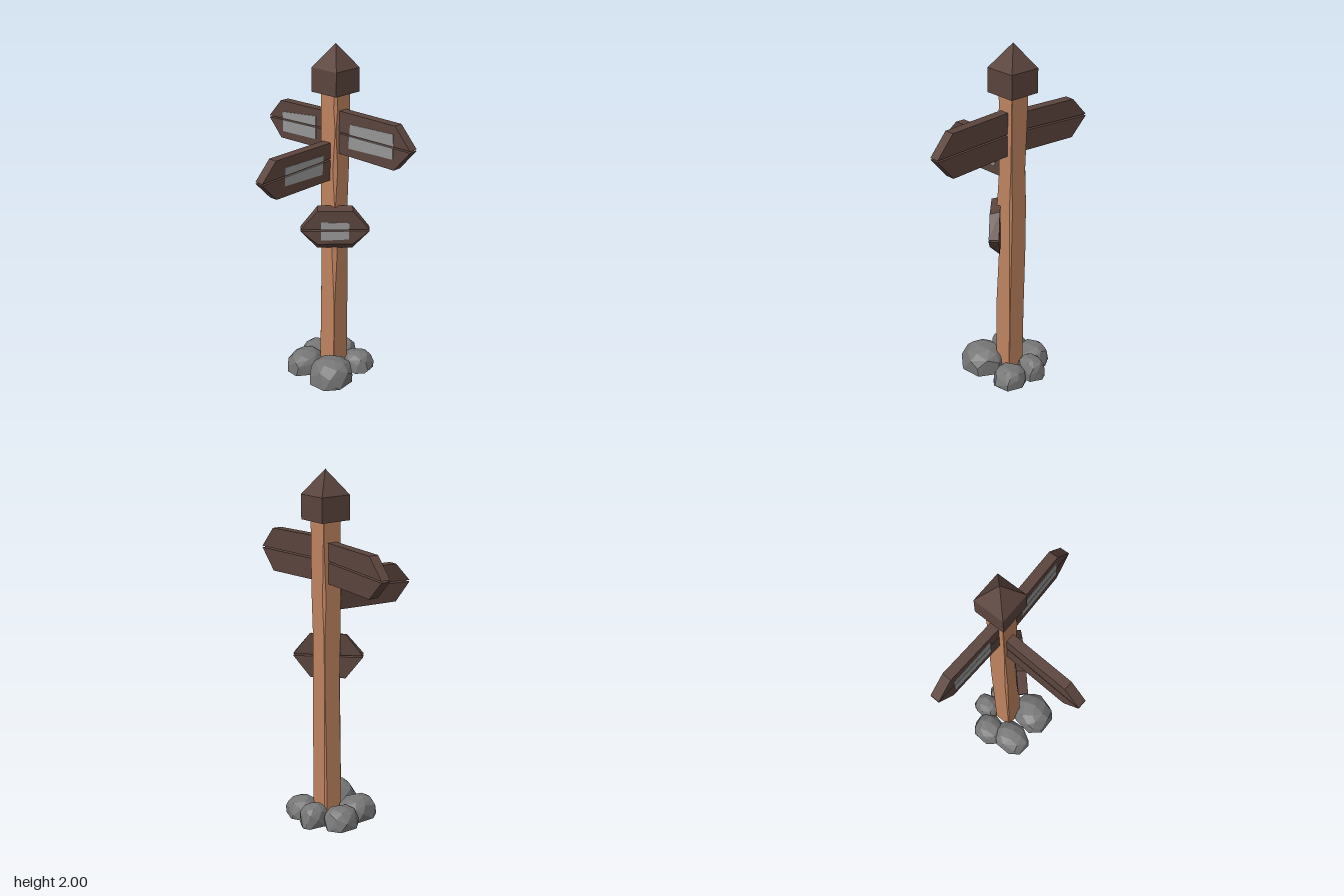
import * as THREE from 'three';
import { ConvexGeometry } from 'three/addons/geometries/ConvexGeometry.js';

const mat = (color) => new THREE.MeshStandardMaterial({ color, flatShading: true });
const postWood = mat(0xbf8360), darkWood = mat(0x5b443d), plateGrey = mat(0x969696), stone = mat(0x777777);
const AXIS = { x: -0.017, z: -0.171 };

function add(parent, name, geometry, material) {
  const mesh = new THREE.Mesh(geometry, material);
  mesh.name = name;
  parent.add(mesh);
  return mesh;
}

// Convex slab between a back outline and a front outline
function slab(back, z0, z1, front = back) {
  return new ConvexGeometry([
    ...back.map(([x, y]) => new THREE.Vector3(x, y, z0)),
    ...front.map(([x, y]) => new THREE.Vector3(x, y, z1)),
  ]);
}

// A sign is two planks with a narrow gap, each carrying half of a pale plate
function sign(name, planks, plates, fronts = planks) {
  const group = new THREE.Group();
  group.name = name;
  planks.forEach((p, i) => add(group, i ? 'lowerPlank' : 'upperPlank', slab(p, -0.028, 0.028, fronts[i]), darkWood));
  plates.forEach((p, i) => add(group, i ? 'lowerPlate' : 'upperPlate', slab(p, 0.027, 0.031), plateGrey));
  return group;
}

// Square post whose corners are chipped by different amounts along its height
function postGeometry() {
  const h = 0.058;
  // [height, chip at each corner: +x+z, -x+z, -x-z, +x-z]
  const levels = [
    [0.03, 0.002, 0.003, 0.012, 0.002], [0.45, 0.002, 0.008, 0.008, 0.003],
    [0.8, 0.022, 0.012, 0.002, 0.008], [1.08, 0.004, 0.006, 0.003, 0.012],
    [1.3, 0.02, 0.002, 0.014, 0.004], [1.52, 0.003, 0.003, 0.006, 0.002],
    [1.66, 0.016, 0.002, 0.002, 0.002], [1.75, 0.01, 0.002, 0.002, 0.002],
  ];
  const signs = [[1, 1], [-1, 1], [-1, -1], [1, -1]];
  const pos = [], index = [];
  for (const [y, ...chips] of levels) {
    signs.forEach(([sx, sz], i) => {
      const onX = [sx * h, y, sz * (h - chips[i])], onZ = [sx * (h - chips[i]), y, sz * h];
      pos.push(...(i % 2 ? [...onZ, ...onX] : [...onX, ...onZ]));
    });
  }
  for (let l = 0; l < levels.length - 1; l++) {
    for (let i = 0; i < 8; i++) {
      const a = l * 8 + i, b = l * 8 + (i + 1) % 8;
      index.push(a, b, b + 8, a, b + 8, a + 8);
    }
  }
  // End caps
  const top = (levels.length - 1) * 8;
  for (let i = 1; i < 7; i++) index.push(0, i + 1, i, top, top + i, top + i + 1);
  // Corners run clockwise from above, so flip every face outwards
  for (let i = 0; i < index.length; i += 3) [index[i + 1], index[i + 2]] = [index[i + 2], index[i + 1]];
  // Make sure the winding faces outwards whatever the loop direction
  const g = new THREE.BufferGeometry();
  g.setAttribute('position', new THREE.Float32BufferAttribute(pos, 3));
  const [A, B, C] = [0, 1, 2].map((k) => new THREE.Vector3().fromArray(pos, index[k] * 3));
  const n = B.clone().sub(A).cross(C.clone().sub(A));
  const outward = A.clone().add(B).add(C).setY(0);
  if (n.dot(outward) < 0) index.reverse();
  g.setIndex(index);
  const flat = g.toNonIndexed();
  flat.computeVertexNormals();
  return flat;
}

// Faceted boulder fitted to a ground rectangle and a height
function rockGeometry([x0, x1, z0, z1, height], seed) {
  let s = seed * 7919 + 17;
  const rnd = () => ((s = (s * 16807) % 2147483647) / 2147483647);
  const pts = [], count = 22;
  for (let i = 0; i < count; i++) {
    const t = (i + 0.5) / count, a = i * 2.39996 + rnd() * 0.5;
    const r = Math.pow(1 - Math.pow(1 - t, 2.2), 0.5) * (0.94 + rnd() * 0.1);
    pts.push(new THREE.Vector3(Math.cos(a) * r, Math.pow(1 - t, 0.55), Math.sin(a) * r));
  }
  // Flat foot
  for (let i = 0; i < 7; i++) {
    const a = i * 0.898 + rnd() * 0.4;
    pts.push(new THREE.Vector3(Math.cos(a), 0, Math.sin(a)));
  }
  const box = new THREE.Box3().setFromPoints(pts), size = box.getSize(new THREE.Vector3());
  for (const p of pts) {
    p.sub(box.min).divide(size);
    p.set(x0 + p.x * (x1 - x0), p.y * height, z0 + p.z * (z1 - z0));
  }
  return new ConvexGeometry(pts);
}

export function createModel() {
  const model = new THREE.Group();
  model.name = 'signpost';

  // Post
  add(model, 'post', postGeometry(), postWood).position.set(AXIS.x, 0, AXIS.z);

  // Cap: square block with a pyramid on top
  const cap = new THREE.Group();
  cap.name = 'cap';
  cap.position.set(AXIS.x, 0, AXIS.z);
  add(cap, 'capBlock', new THREE.BoxGeometry(0.186, 0.135, 0.186), darkWood).position.y = 1.7975;
  const roof = add(cap, 'capRoof', new THREE.ConeGeometry(0.093 * Math.SQRT2, 0.135, 4, 1, true), darkWood);
  roof.position.y = 1.9325;
  roof.rotation.y = Math.PI / 4;
  model.add(cap);

  // Arrow pointing to the left
  const left = sign('leftArrow', [
    [[0.05, 1.517], [0.05, 1.637], [0.445, 1.627], [0.55, 1.509]],
    [[0.05, 1.508], [0.05, 1.392], [0.445, 1.38], [0.55, 1.5]],
  ], [
    [[0.133, 1.515], [0.137, 1.575], [0.437, 1.58], [0.437, 1.512]],
    [[0.132, 1.506], [0.127, 1.436], [0.437, 1.44], [0.437, 1.503]],
  ]);
  left.position.set(AXIS.x, 0, -0.168);
  left.rotation.y = 0.035;

  // Arrow pointing to the right
  const right = sign('rightArrow', [
    [[-0.05, 1.517], [-0.05, 1.615], [-0.42, 1.605], [-0.523, 1.494]],
    [[-0.05, 1.508], [-0.05, 1.392], [-0.42, 1.38], [-0.523, 1.485]],
  ], [
    [[-0.125, 1.513], [-0.125, 1.57], [-0.403, 1.54], [-0.403, 1.5]],
    [[-0.125, 1.504], [-0.125, 1.436], [-0.403, 1.423], [-0.403, 1.491]],
  ]);
  right.position.set(AXIS.x, 0, -0.168);
  right.rotation.y = -0.04;

  // Arrow pointing to the front
  const front = sign('frontArrow', [
    [[-0.05, 1.359], [-0.05, 1.452], [-0.46, 1.437], [-0.56, 1.329]],
    [[-0.05, 1.35], [-0.05, 1.232], [-0.46, 1.217], [-0.56, 1.32]],
  ], [
    [[-0.115, 1.355], [-0.11, 1.39], [-0.4, 1.385], [-0.4, 1.339]],
    [[-0.115, 1.346], [-0.12, 1.28], [-0.4, 1.28], [-0.4, 1.33]],
  ]);
  front.position.set(-0.024, 0, AXIS.z);
  front.rotation.y = Math.PI / 2 - 0.035;

  // Low six-sided board set across the post corner, with bevelled edges
  const half = (w, tip, y, g) => [[-tip, g], [-w, y], [w, y], [tip, g]];
  const low = sign('lowBoard',
    [half(0.1, 0.197, 0.13, 0.005), half(0.1, 0.197, -0.13, -0.005)],
    [
      [[-0.08, 0.005], [-0.08, 0.05], [0.08, 0.045], [0.08, 0.005]],
      [[-0.08, -0.005], [-0.08, -0.062], [0.08, -0.055], [0.08, -0.005]],
    ],
    [half(0.1, 0.197, 0.115, 0.005), half(0.1, 0.197, -0.085, -0.005)]);
  low.position.set(0.045, 0.95, -0.11);
  low.rotation.y = Math.PI / 4;
  model.add(left, right, front, low);

  // Boulders around the foot: x range, z range, height
  const rocks = new THREE.Group();
  rocks.name = 'rocks';
  [
    [-0.23, -0.03, -0.17, 0.07, 0.125], [-0.03, 0.2, -0.18, 0.08, 0.147],
    [-0.265, -0.08, -0.3, -0.1, 0.115], [-0.135, 0.01, -0.39, -0.22, 0.125],
    [-0.005, 0.185, -0.37, -0.19, 0.11],
  ].forEach((r, i) => add(rocks, 'rock' + (i + 1), rockGeometry(r, i + 1), stone));
  model.add(rocks);

  return model;
}
